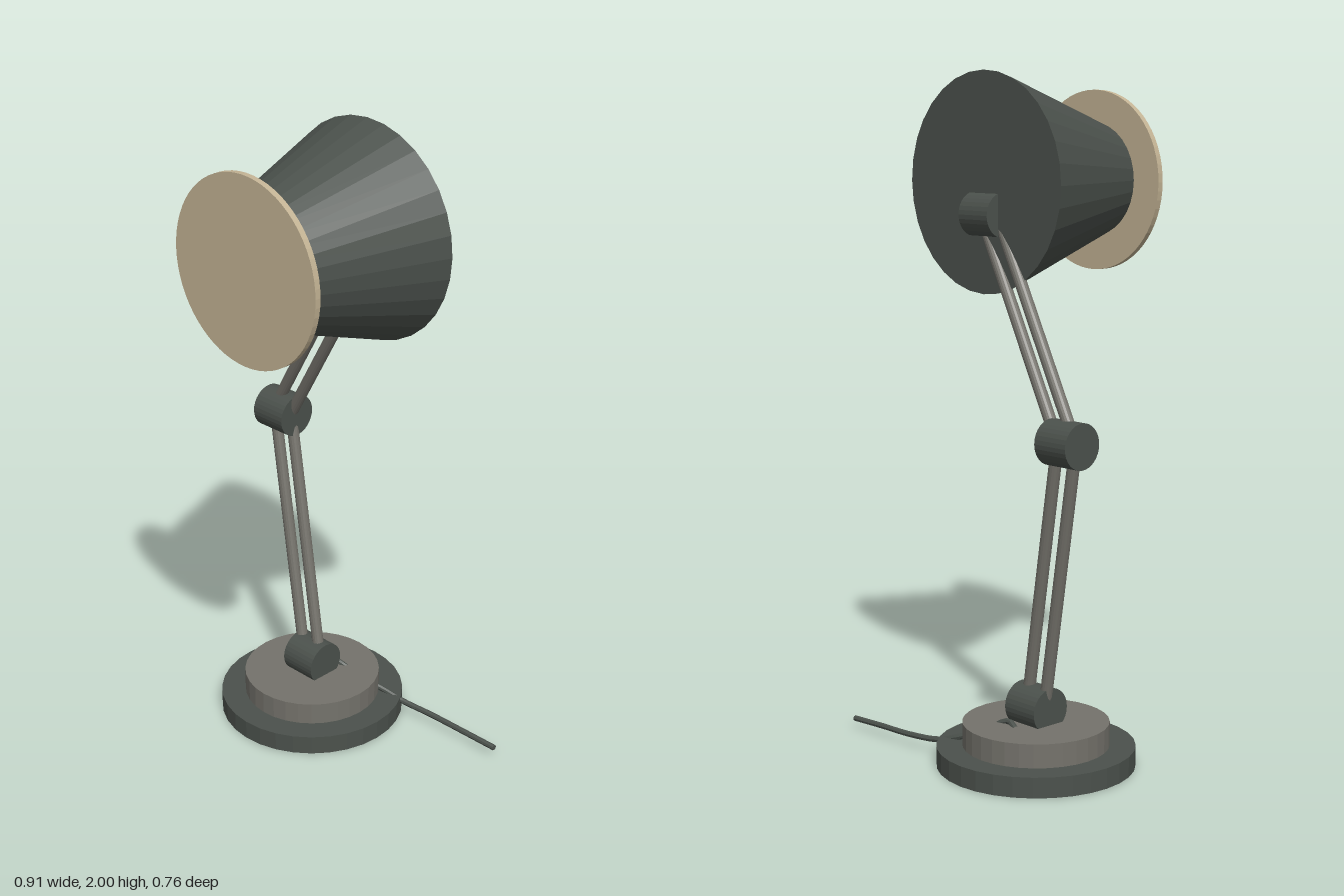
import * as THREE from 'three';

const mat = (name, color) => {
  const m = new THREE.MeshStandardMaterial({ color, flatShading: true });
  m.name = name;
  return m;
};

export function createModel() {
  const group = new THREE.Group();
  const dark = mat('dark grey', 0x4b514c);
  const grey = mat('warm grey', 0x74726b);
  const cream = mat('cream', 0xc3b394);

  const add = (name, geometry, material, x = 0, y = 0, z = 0) => {
    const mesh = new THREE.Mesh(geometry, material);
    mesh.name = name;
    mesh.position.set(x, y, z);
    group.add(mesh);
    return mesh;
  };

  // Stepped round base
  add('baseLower', new THREE.CylinderGeometry(0.291, 0.291, 0.06, 32), dark, -0.163, 0.03, -0.09);
  add('baseUpper', new THREE.CylinderGeometry(0.215, 0.215, 0.07, 32), grey, -0.163, 0.095, -0.09);

  // Horizontal hinge barrels
  const joints = {
    baseHinge: new THREE.Vector3(-0.163, 0.173, -0.09),
    elbowHinge: new THREE.Vector3(-0.333, 0.974, -0.135),
    headHinge: new THREE.Vector3(0.067, 1.588, -0.06),
  };
  for (const [name, p] of Object.entries(joints)) {
    const barrel = new THREE.CylinderGeometry(0.066, 0.066, 0.122, 32).rotateZ(Math.PI / 2);
    add(name, barrel, dark, p.x, p.y, p.z);
  }

  // Twin parallel rods between neighbouring hinges
  const addRods = (name, from, to) => {
    const dir = to.clone().sub(from);
    const mid = from.clone().add(to).multiplyScalar(0.5);
    for (const side of [-1, 1]) {
      const rod = add(name + (side > 0 ? 'Left' : 'Right'),
        new THREE.CylinderGeometry(0.018, 0.018, dir.length(), 16), grey,
        mid.x + side * 0.036, mid.y, mid.z);
      rod.quaternion.setFromUnitVectors(new THREE.Vector3(0, 1, 0), dir.clone().normalize());
    }
  };
  addRods('lowerRod', joints.baseHinge, joints.elbowHinge);
  addRods('upperRod', joints.elbowHinge, joints.headHinge);

  // Shade narrowing towards the front, with a wide disc on its nose
  add('shade', new THREE.CylinderGeometry(0.17, 0.321, 0.446, 32).rotateX(Math.PI / 2),
    dark, 0.067, 1.679, 0.14);
  add('lightDisc', new THREE.CylinderGeometry(0.27, 0.27, 0.018, 64).rotateX(Math.PI / 2),
    cream, 0.067, 1.676, 0.372);

  // Power cord leaving through the base
  const path = new THREE.CatmullRomCurve3([
    [-0.17, 0.125, -0.178], [-0.13, 0.137, -0.168], [-0.05, 0.095, -0.2], [0.03, 0.064, -0.233],
    [0.09, 0.046, -0.248], [0.2, 0.038, -0.264], [0.33, 0.035, -0.27], [0.452, 0.031, -0.276],
  ].map((p) => new THREE.Vector3(...p)));
  add('cord', new THREE.TubeGeometry(path, 40, 0.009, 8), dark);
  const plug = add('cordEnd', new THREE.CircleGeometry(0.009, 8).rotateY(Math.PI / 2), dark, 0.452, 0.031, -0.276);
  plug.rotation.y = 0.05;

  return group;
}
